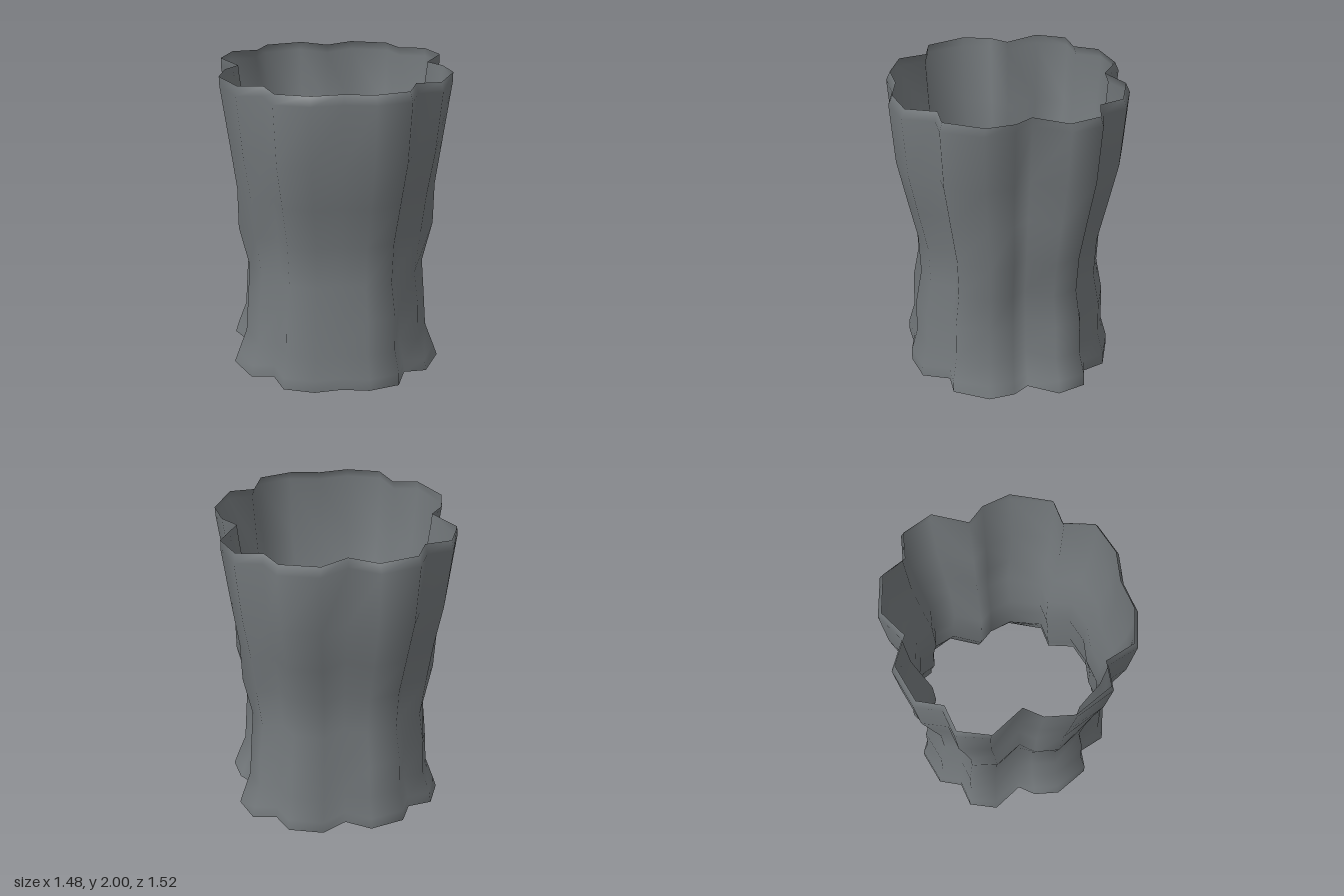
import * as THREE from 'three';

// Half of the fluted cross-section at full width, from back centre to front centre: [x, z]
const HALF = [
  [0, -0.655], [0.18, -0.76], [0.43, -0.69], [0.5, -0.53], [0.67, -0.5], [0.74, -0.3], [0.62, -0.08],
  [0.705, 0.03], [0.745, 0.22], [0.64, 0.475], [0.48, 0.49], [0.42, 0.69], [0.2, 0.76], [0, 0.73],
];

// Rings from the foot to the rim: [height, scale at the sides, scale at front and back]
const RINGS = [
  [0, 0.94, 0.9], [0.08, 0.895, 0.9], [0.23, 0.815, 0.845], [0.47, 0.79, 0.84], [0.7, 0.775, 0.785],
  [0.97, 0.875, 0.8], [1.25, 0.865, 0.88], [1.54, 0.91, 0.96], [1.94, 0.99, 1], [2, 1, 0.965],
];

function buildShell() {
  // Mirror the half section into a closed loop
  const mirrored = HALF.slice(1, -1).reverse().map(([x, z]) => [-x, z]);
  const loop = [...HALF, ...mirrored];
  const n = loop.length;
  const positions = [];
  const indices = [];

  RINGS.forEach(([y, side, front], r) => {
    loop.forEach(([x, z], i) => {
      // The side lobes follow their own profile; the rest follows the front and back one
      const w = (x * x / (x * x + z * z)) ** 2;
      positions.push(x * THREE.MathUtils.lerp(front, side, w), y, z * front);
      if (r === 0) return;
      const j = (i + 1) % n;
      const a = (r - 1) * n + i, b = (r - 1) * n + j;
      indices.push(a, a + n, b, b, a + n, b + n);
    });
  });

  const geometry = new THREE.BufferGeometry();
  geometry.setAttribute('position', new THREE.Float32BufferAttribute(positions, 3));
  geometry.setIndex(indices);
  geometry.computeVertexNormals();
  return geometry;
}

export function createModel() {
  const group = new THREE.Group();
  group.name = 'flutedTube';

  const grey = new THREE.MeshStandardMaterial({ color: 0x73787b, side: THREE.DoubleSide });
  grey.name = 'slate grey';

  // Thin open wall, with no floor or lid
  const shell = new THREE.Mesh(buildShell(), grey);
  shell.name = 'shell';
  group.add(shell);
  return group;
}
